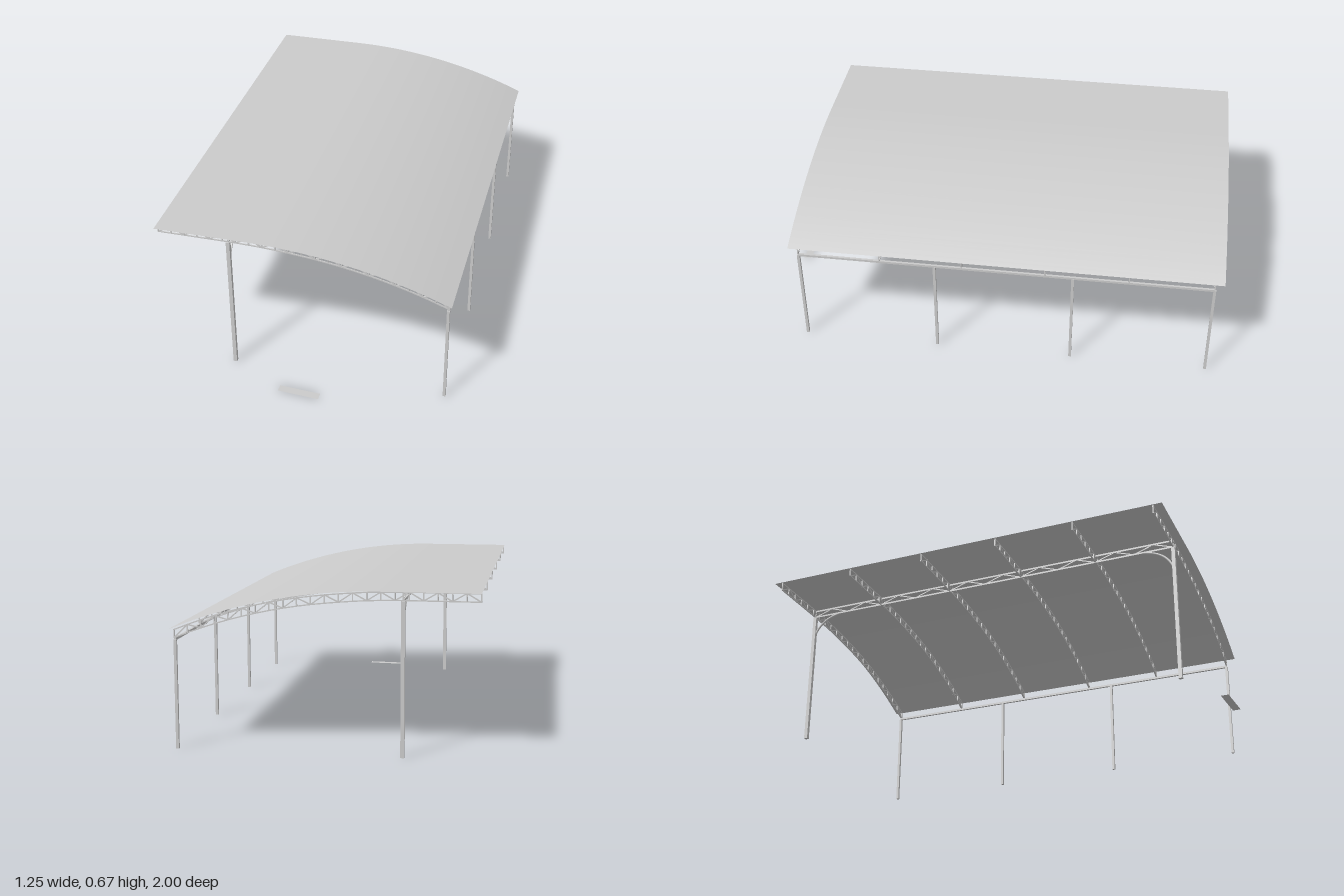
import * as THREE from 'three';
import { mergeGeometries } from 'three/addons/utils/BufferGeometryUtils.js';

const grey = new THREE.MeshStandardMaterial({ color: 0xcccccc });
const sheet = new THREE.MeshStandardMaterial({ color: 0xcccccc, side: THREE.DoubleSide });
const V = (x, y, z) => new THREE.Vector3(x, y, z);

const LEFT = -0.63, RIGHT = 0.625, BEND = -0.23, RADIUS = 2.21;
const FRONT = 0.84, BACK = -0.96;
const POST_X = -0.322, EAVE_X = 0.606;

// Roof height: flat, then a tangent arc falling towards +x
function roofY(x) {
  const d = Math.max(0, x - BEND);
  return 0.672 - (RADIUS - Math.sqrt(RADIUS * RADIUS - d * d));
}

// Square bar between two points
function bar(a, b, t) {
  const dir = b.clone().sub(a);
  const geo = new THREE.BoxGeometry(t, t, dir.length() + t * 0.5);
  geo.lookAt(dir);
  const mid = a.clone().add(b).multiplyScalar(0.5);
  return geo.translate(mid.x, mid.y, mid.z);
}

// Truss from two point functions of the panel index
function trussGeometry(n, top, bottom, chord, web, verticals) {
  const parts = [];
  for (let i = 0; i < n; i++) {
    parts.push(bar(top(i), top(i + 1), chord), bar(bottom(i), bottom(i + 1), chord));
    parts.push(i % 2 ? bar(top(i), bottom(i + 1), web) : bar(bottom(i), top(i + 1), web));
  }
  for (let i = 0; i <= n; i++) {
    if (verticals || i === 0 || i === n) parts.push(bar(bottom(i), top(i), web));
  }
  return mergeGeometries(parts);
}

export function createModel() {
  const model = new THREE.Group();
  const add = (name, geo, mat = grey) => {
    const mesh = new THREE.Mesh(geo, mat);
    mesh.name = name;
    model.add(mesh);
    return mesh;
  };

  // Curved roof sheet
  const roof = new THREE.PlaneGeometry(RIGHT - LEFT, 1.88, 48, 1);
  roof.rotateX(-Math.PI / 2).translate((LEFT + RIGHT) / 2, 0, -0.06);
  const pos = roof.attributes.position;
  for (let i = 0; i < pos.count; i++) pos.setY(i, roofY(pos.getX(i)));
  roof.computeVertexNormals();
  add('roofSheet', roof, sheet);

  // Six arched cross trusses
  const panels = 22;
  const trussX = i => LEFT + 0.003 + (0.61 - LEFT - 0.003) * i / panels;
  const topY = x => roofY(x) - 0.005 - 0.007 * THREE.MathUtils.smoothstep(x, -0.35, 0);
  const crossTruss = trussGeometry(panels,
    i => V(trussX(i), topY(trussX(i)), 0),
    i => V(trussX(i), topY(trussX(i)) - 0.033, 0), 0.005, 0.005, true);
  for (let i = 0; i < 6; i++) {
    add('crossTruss', crossTruss).position.z = BACK + (FRONT - BACK) * i / 5;
  }

  // Two tall posts on the cantilever side with curved braces
  for (const [z, inward] of [[FRONT, -1], [BACK, 1]]) {
    add('tallPost', new THREE.BoxGeometry(0.016, 0.632, 0.016)).position.set(POST_X, 0.316, z);
    const curve = new THREE.QuadraticBezierCurve3(
      V(POST_X, 0.525, z), V(POST_X, 0.62, z + inward * 0.03), V(POST_X, 0.632, z + inward * 0.14));
    add('curvedBrace', new THREE.TubeGeometry(curve, 12, 0.005, 8));
  }

  // Lengthwise truss joining the tall posts
  const bays = 20;
  const bayZ = i => BACK + (FRONT - BACK) * i / bays;
  add('lengthTruss', trussGeometry(bays,
    i => V(POST_X, 0.664, bayZ(i)),
    i => V(POST_X, 0.633, bayZ(i)), 0.008, 0.005, false));

  // Four eave posts carrying a beam
  for (let i = 0; i < 4; i++) {
    const z = BACK + (FRONT - BACK) * i / 3;
    add('eavePost', new THREE.BoxGeometry(0.012, 0.455, 0.012)).position.set(EAVE_X, 0.2275, z);
  }
  add('eaveBeam', bar(V(EAVE_X, 0.456, BACK), V(EAVE_X, 0.456, FRONT), 0.01));

  // Slightly skewed flat plate on the ground
  const plate = new THREE.Shape([
    new THREE.Vector2(-0.085, -0.985), new THREE.Vector2(0.095, -0.996),
    new THREE.Vector2(0.095, -0.961), new THREE.Vector2(-0.085, -0.951),
  ]);
  add('groundPlate', new THREE.ShapeGeometry(plate).rotateX(-Math.PI / 2), sheet);

  return model;
}
